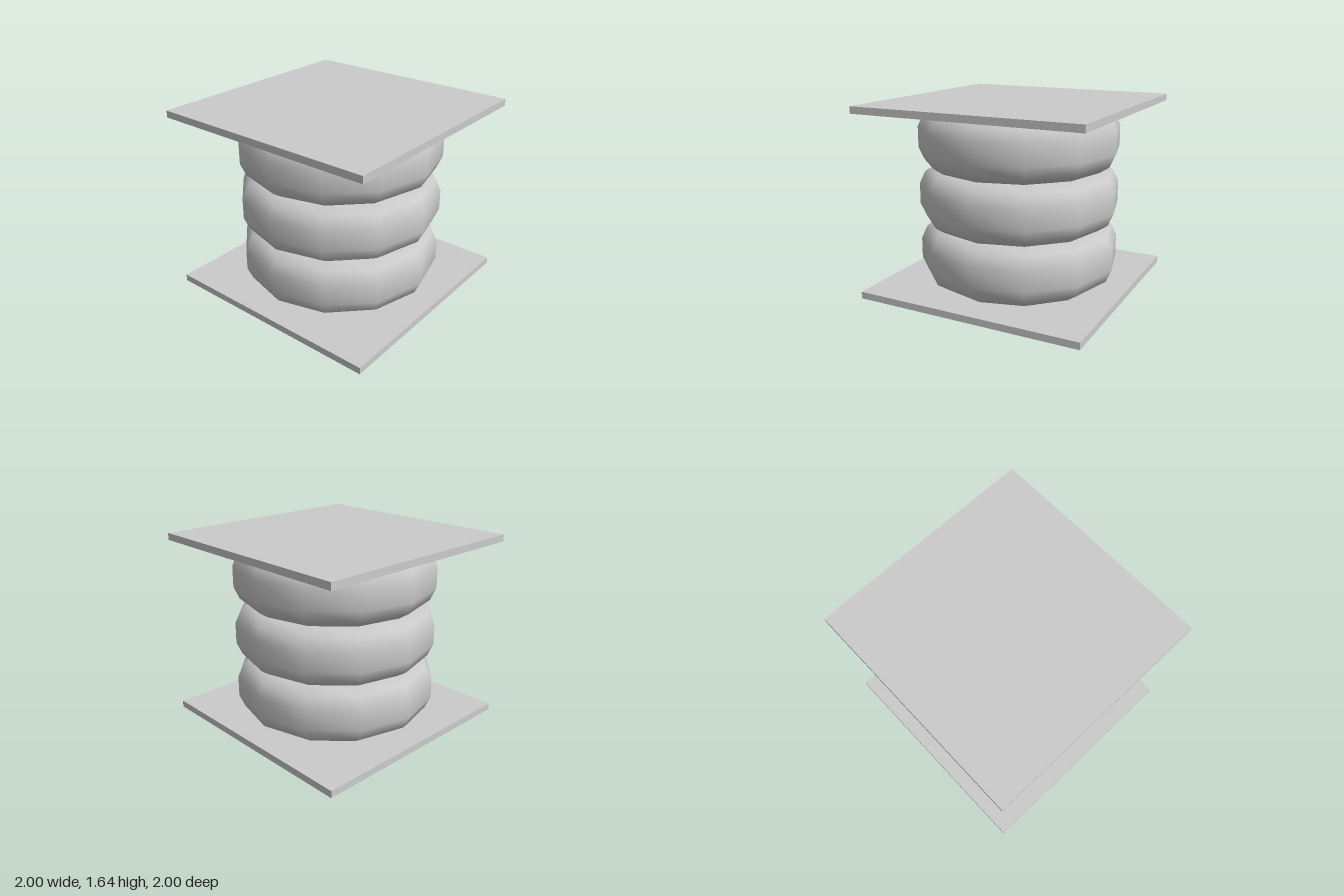
import * as THREE from 'three';

const material = new THREE.MeshStandardMaterial({ color: 0xcccccc });

// Square end plate resting with its underside at height y
function plate(name, y) {
  const mesh = new THREE.Mesh(new THREE.BoxGeometry(2, 0.06, 2), material);
  mesh.name = name;
  mesh.position.y = y + 0.03;
  return mesh;
}

// One half of the bulging bellow's outline: [radius, height above its middle]
const HALF_OUTLINE = [[0.874, 0.09], [0.826, 0.196], [0.722, 0.265], [0, 0.265]];

function bellowGeometry() {
  const lower = HALF_OUTLINE.map(([r, h]) => new THREE.Vector2(r, -h)).reverse();
  const upper = HALF_OUTLINE.map(([r, h]) => new THREE.Vector2(r, h));
  return new THREE.LatheGeometry([...lower, ...upper], 12);
}

export function createModel() {
  const model = new THREE.Group();
  model.name = 'airSpring';

  model.add(plate('bottomPlate', 0), plate('topPlate', 1.58));

  // Three stacked, twelve-sided bellows that slightly overlap
  const geometry = bellowGeometry();
  ['lowerBellow', 'middleBellow', 'upperBellow'].forEach((name, i) => {
    const bellow = new THREE.Mesh(geometry, material);
    bellow.name = name;
    bellow.position.y = 0.323 + i * 0.502;
    model.add(bellow);
  });

  return model;
}
